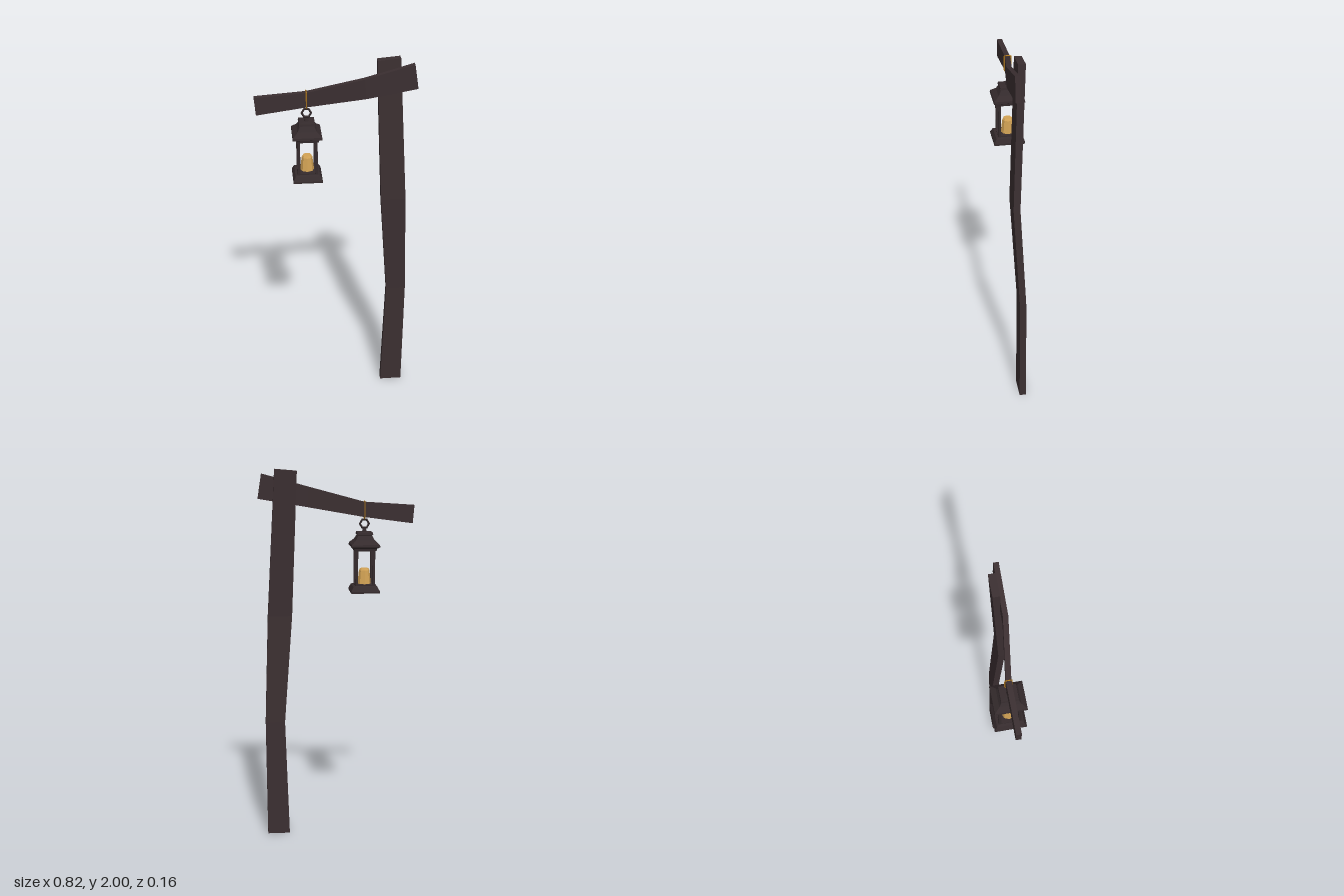
import * as THREE from 'three';

const wood = new THREE.MeshStandardMaterial({ color: 0x3b2f31 });
wood.name = 'darkWood';
const iron = new THREE.MeshStandardMaterial({ color: 0x352b2d });
iron.name = 'darkIron';
const wax = new THREE.MeshStandardMaterial({ color: 0xd3a355 });
wax.name = 'candleWax';
const cord = new THREE.MeshStandardMaterial({ color: 0xa8741f });
cord.name = 'cord';

function flat(geometry) {
  const g = geometry.index ? geometry.toNonIndexed() : geometry;
  g.computeVertexNormals();
  return g;
}

function add(parent, name, geometry, material, x = 0, y = 0, z = 0) {
  const mesh = new THREE.Mesh(flat(geometry), material);
  mesh.name = name;
  mesh.position.set(x, y, z);
  parent.add(mesh);
  return mesh;
}

// Closed plank through four-cornered sections, corners counter-clockwise seen from the end
function plank(sections) {
  const index = [];
  const last = (sections.length - 1) * 4;
  for (let s = 0; s < last; s += 4) {
    for (let i = 0; i < 4; i++) {
      const a = s + i, b = s + (i + 1) % 4;
      index.push(a, b, b + 4, a, b + 4, a + 4);
    }
  }
  index.push(0, 2, 1, 0, 3, 2, last, last + 1, last + 2, last, last + 2, last + 3);
  const g = new THREE.BufferGeometry();
  g.setAttribute('position', new THREE.Float32BufferAttribute(sections.flat(2), 3));
  g.setIndex(index);
  return g;
}

// Square stepped solid from [half width, height] pairs, slightly deeper than wide
function squareTurned(profile) {
  const points = profile.map(([h, y]) => new THREE.Vector2(h * Math.SQRT2, y));
  return new THREE.LatheGeometry(points, 4, Math.PI / 4).scale(1, 1, 1.08);
}

export function createModel() {
  const model = new THREE.Group();
  model.name = 'lanternPost';

  // Crooked upright: left x, right x, left y, right y, back z, front z
  const upright = [
    [0.26, 0.38, 0, 0, -0.017, 0.02],
    [0.28, 0.385, 0.64, 0.64, -0.012, 0.022],
    [0.235, 0.365, 1.22, 1.22, 0.018, 0.053],
    [0.205, 0.322, 1.99, 2, -0.012, 0.025],
  ].map(([x0, x1, y0, y1, z0, z1]) => [[x0, y0, z1], [x1, y1, z1], [x1, y1, z0], [x0, y0, z0]]);
  add(model, 'upright', plank(upright), wood);

  // Bent crossbeam: bottom x, top x, bottom y, top y, back z, front z
  const beam = [
    [-0.405, -0.413, 1.715, 1.81, -0.015, 0.012],
    [-0.145, -0.15, 1.75, 1.828, -0.015, 0.012],
    [0.15, 0.14, 1.8, 1.905, 0.025, 0.051],
    [0.41, 0.39, 1.845, 1.975, 0.025, 0.051],
  ].map(([xb, xt, y0, y1, z0, z1]) => [[xb, y0, z1], [xb, y0, z0], [xt, y1, z0], [xt, y1, z1]]);
  add(model, 'crossbeam', plank(beam), wood);

  const lantern = new THREE.Group();
  lantern.name = 'lantern';
  lantern.position.set(-0.15, 0, -0.001);
  model.add(lantern);

  // Base and roof
  add(lantern, 'lanternBase', squareTurned([
    [0, 1.353], [0.076, 1.353], [0.076, 1.362], [0.064, 1.386], [0.052, 1.39], [0.052, 1.396], [0, 1.396],
  ]), iron);
  add(lantern, 'lanternRoof', squareTurned([
    [0, 1.575], [0.058, 1.575], [0.06, 1.588], [0.076, 1.597], [0.074, 1.609], [0.05, 1.63],
    [0.036, 1.656], [0.042, 1.659], [0.04, 1.67], [0, 1.672],
  ]), iron);

  // Four corner bars
  for (const x of [-0.045, 0.045]) {
    for (const z of [-0.05, 0.05]) {
      add(lantern, 'cornerBar', new THREE.BoxGeometry(0.014, 0.2, 0.014), iron, x, 1.485, z);
    }
  }

  // Candle with a bevelled top
  add(lantern, 'candle', new THREE.LatheGeometry([
    [0, 1.395], [0.036, 1.395], [0.028, 1.468], [0.022, 1.478], [0, 1.478],
  ].map(([r, y]) => new THREE.Vector2(r, y)), 8), wax);

  // Hanging ring on its short stem
  add(lantern, 'ringStem', new THREE.CylinderGeometry(0.009, 0.014, 0.022, 6), iron, 0, 1.68, 0);
  add(lantern, 'hangingRing', new THREE.TorusGeometry(0.024, 0.006, 4, 6), iron, 0, 1.714, 0);

  // Cord looped over the beam and through the ring
  const loop = new THREE.CurvePath();
  const corners = [[1.735, 0], [1.752, 0.016], [1.832, 0.016], [1.832, -0.018], [1.752, -0.018], [1.735, 0]]
    .map(([y, z]) => new THREE.Vector3(0, y, z));
  for (let i = 0; i < corners.length - 1; i++) loop.add(new THREE.LineCurve3(corners[i], corners[i + 1]));
  add(lantern, 'cord', new THREE.TubeGeometry(loop, 40, 0.003, 4, false), cord);

  return model;
}
